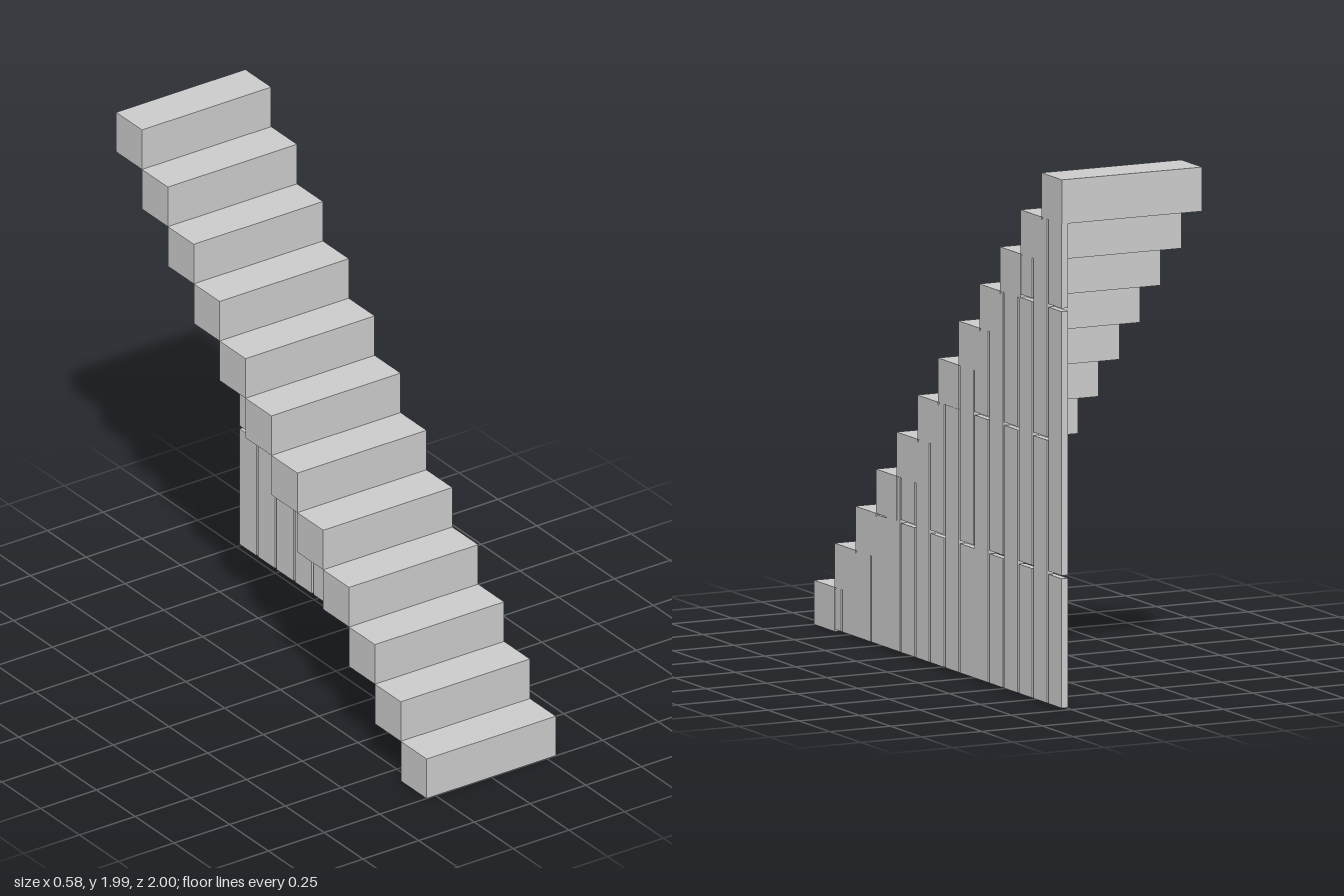
import * as THREE from 'three';

const STEPS = 12, RISE = 0.1655, RUN = 1 / 6, HALF = 0.29;
const PITCH = 0.1187, GAP = 0.011, BACK = -0.996;
const SLOPE = RISE / RUN;

// sloping upper edge of the side wall, just under the inner step corners
const cutY = z => SLOPE * (1 - z) - 0.012;
const cutZ = y => 1 - (y + 0.012) / SLOPE;

// one wall plank between z0..z1 and y0..y1, trimmed by the slope
function plankGeometry(z0, z1, y0, y1) {
  const pts = [[z0, y0], [Math.min(z1, cutZ(y0)), y0]];
  if (cutY(z1) > y0) pts.push([z1, Math.min(y1, cutY(z1))]);
  if (cutY(z1) < y1 && cutY(z0) > y1) pts.push([cutZ(y1), y1]);
  pts.push([z0, Math.min(y1, cutY(z0))]);
  const shape = new THREE.Shape(pts.map(([z, y]) => new THREE.Vector2(-z, y)));
  return new THREE.ExtrudeGeometry(shape, { depth: 0.027, bevelEnabled: false })
    .rotateY(Math.PI / 2)
    .translate(HALF - 0.028, 0, 0);
}

export function createModel() {
  const model = new THREE.Group();
  model.name = 'staircase';
  const material = new THREE.MeshStandardMaterial({ color: 0xcccccc, flatShading: true });

  // solid block steps climbing toward the back
  const steps = new THREE.Group();
  steps.name = 'steps';
  const block = new THREE.BoxGeometry(HALF * 2, RISE, RUN);
  for (let i = 0; i < STEPS; i++) {
    const step = new THREE.Mesh(block, material);
    step.name = 'step';
    step.position.set(0, (i + 0.5) * RISE, 1 - (i + 0.5) * RUN);
    steps.add(step);
  }
  model.add(steps);

  // thin plank wall on the left side, with staggered joints
  const wall = new THREE.Group();
  wall.name = 'sideWall';
  for (let i = 0; i < 17; i++) {
    const joints = i % 2 ? [0, 1, 2.2] : [0, 0.5, 1.5, 2.2];
    for (let j = 0; j < joints.length - 1; j++) {
      // a few low planks butt against their neighbour
      const closed = j === 0 && [6, 12, 14].includes(i);
      const z0 = BACK + i * PITCH - (closed ? GAP : 0);
      const z1 = Math.min(BACK + (i + 1) * PITCH - GAP, 0.99);
      const y0 = joints[j] + (j ? 0.004 : 0.008);
      const y1 = joints[j + 1] - 0.008;
      if (cutY(z0) <= y0 + 0.002) continue;
      const plank = new THREE.Mesh(plankGeometry(z0, z1, y0, y1), material);
      plank.name = 'plank';
      wall.add(plank);
    }
  }
  model.add(wall);
  return model;
}
